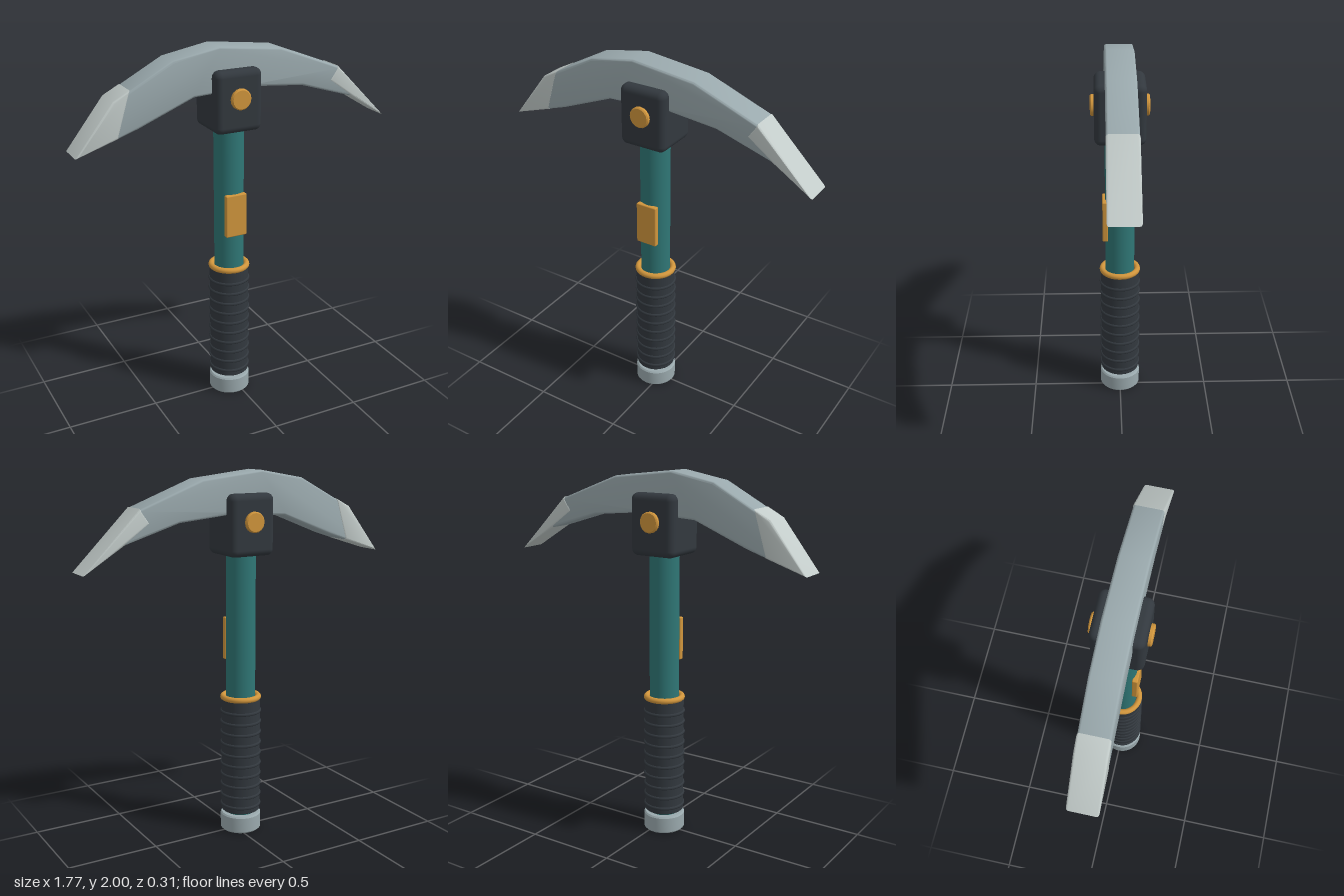
import * as THREE from 'three';
import { toCreasedNormals } from 'three/addons/utils/BufferGeometryUtils.js';
import { RoundedBoxGeometry } from 'three/addons/geometries/RoundedBoxGeometry.js';

const AXIS = -0.035; // x of the shaft

function material(name, color) {
  const m = new THREE.MeshStandardMaterial({ color });
  m.name = name;
  return m;
}

// Bevelled plate with an outline in x/y, centred on z = 0
function slab(points, thickness, bevel) {
  const shape = new THREE.Shape(points.map(([x, y]) => new THREE.Vector2(x, y)));
  const geo = new THREE.ExtrudeGeometry(shape, {
    depth: thickness - 2 * bevel, bevelEnabled: true, bevelThickness: bevel,
    bevelSize: bevel, bevelOffset: -bevel, bevelSegments: 3,
  });
  geo.translate(0, 0, bevel - thickness / 2);
  return toCreasedNormals(geo, 0.6);
}

// Solid of revolution with creased edges
function turned(profile, segments = 40) {
  const geo = new THREE.LatheGeometry(profile.map(([r, y]) => new THREE.Vector2(r, y)), segments);
  return toCreasedNormals(geo, 0.6);
}

export function createModel() {
  const steel = material('steel', 0x9aa9ad);
  const edge = material('sharpened steel', 0xc3ccca);
  const teal = material('teal paint', 0x2f7675);
  const amber = material('amber', 0xd0953c);
  const rubber = material('dark rubber', 0x32383e);

  const model = new THREE.Group();
  model.name = 'pickaxe';
  const add = (name, geo, mat, x = 0, y = 0, z = 0) => {
    const mesh = new THREE.Mesh(geo, mat);
    mesh.name = name;
    mesh.position.set(x, y, z);
    model.add(mesh);
    return mesh;
  };

  // Curved head
  add('head', slab([
    [-0.88, 1.537], [-0.56, 1.64], [-0.26, 1.76], [0.08, 1.777], [0.36, 1.75], [0.67, 1.655],
    [0.878, 1.527], [0.575, 1.828], [0.23, 1.96], [-0.12, 2], [-0.37, 1.955], [-0.685, 1.788],
  ], 0.154, 0.012), steel);

  // Sharpened tips, a hair proud of the head
  add('leftTip', slab([
    [0.525, 1.757], [0.67, 1.653], [0.882, 1.524], [0.577, 1.831],
  ], 0.158, 0.012), edge);
  add('rightTip', slab([
    [-0.886, 1.535], [-0.665, 1.605], [-0.597, 1.837], [-0.686, 1.791],
  ], 0.158, 0.012), edge);

  // Socket block with a bolt through it
  add('socket', new RoundedBoxGeometry(0.262, 0.325, 0.266, 4, 0.035), rubber, AXIS, 1.722, 0);
  const bolt = add('bolt', turned([
    [0, -0.153], [0.049, -0.153], [0.055, -0.147], [0.055, 0.147], [0.049, 0.153], [0, 0.153],
  ], 16), amber, AXIS, 1.74, 0);
  bolt.rotation.x = Math.PI / 2;

  // Shaft and its front plate
  add('shaft', new THREE.CylinderGeometry(0.08, 0.08, 1.56, 40), teal, AXIS, 0.84, 0);
  add('frontPlate', new RoundedBoxGeometry(0.12, 0.236, 0.03, 2, 0.006), amber, AXIS, 1.093, 0.08);

  // Ribbed grip
  add('grip', turned([
    [0, 0.113], [0.103, 0.113], [0.107, 0.117], [0.107, 0.77], [0, 0.77],
  ]), rubber, AXIS);
  for (let i = 0; i < 10; i++) {
    const ring = add('gripRing', new THREE.TorusGeometry(0.104, 0.01, 8, 40), rubber, AXIS, 0.148 + i * 0.0608, 0);
    ring.rotation.x = Math.PI / 2;
  }

  // Collar above the grip and cap at the foot
  const collar = add('collar', new THREE.TorusGeometry(0.097, 0.016, 12, 40), amber, AXIS, 0.774, 0);
  collar.rotation.x = Math.PI / 2;
  add('endCap', turned([
    [0, 0], [0.106, 0], [0.113, 0.008], [0.113, 0.09], [0.106, 0.098], [0, 0.098],
  ]), steel, AXIS);

  return model;
}
